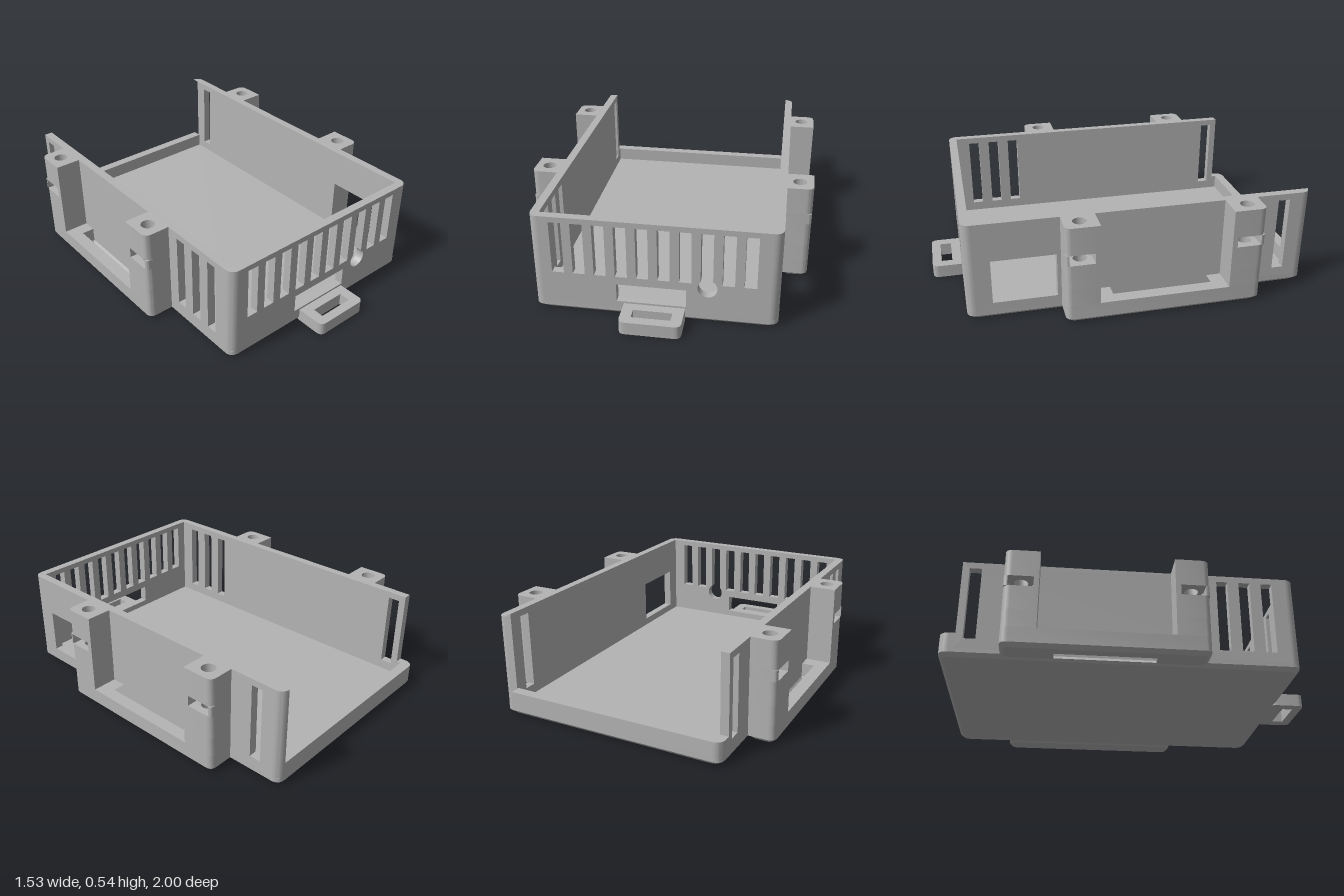
import * as THREE from 'three';
import { toCreasedNormals } from 'three/addons/utils/BufferGeometryUtils.js';

export function createModel() {
  const model = new THREE.Group();
  model.name = 'electronicsEnclosure';
  const grey = new THREE.MeshStandardMaterial({ color: 0xb4b4b4 });
  grey.name = 'grey plastic';

  const X = 0.625, XI = 0.58, FRONT = 0.84, FI = 0.795, BACK = -1, BI = -0.945;
  const R = 0.045, H = 0.54, FLOOR = 0.045, LIP = 0.125, CH = 0.02;

  const add = (name, geo, parent = model) => {
    const mesh = new THREE.Mesh(toCreasedNormals(geo, 0.5), grey);
    mesh.name = name;
    parent.add(mesh);
    return mesh;
  };

  // Closed outline from [u, v, cornerRadius] points
  const outline = (pts, Type = THREE.Shape) => {
    const s = new Type();
    pts.forEach(([u, v, r = 0], i) => {
      const p = new THREE.Vector2(u, v);
      const toward = (q) => new THREE.Vector2(q[0], q[1]).sub(p).setLength(r).add(p);
      const a = r ? toward(pts[(i + pts.length - 1) % pts.length]) : p;
      if (i === 0) s.moveTo(a.x, a.y); else s.lineTo(a.x, a.y);
      if (r) {
        const b = toward(pts[(i + 1) % pts.length]);
        s.quadraticCurveTo(u, v, b.x, b.y);
      }
    });
    s.closePath();
    return s;
  };
  const rect = (u0, u1, v0, v1, r = 0) => [[u0, v0, r], [u1, v0, r], [u1, v1, r], [u0, v1, r]];
  const hole = (pts) => outline(pts, THREE.Path);
  const circle = (u, v, r) => new THREE.Path().absarc(u, v, r, 0, Math.PI * 2);

  // Upright prism: plan points are [x, -z], from height y0 to y1
  const prism = (pts, y0, y1, holes = []) => {
    const s = outline(pts);
    s.holes.push(...holes);
    const g = new THREE.ExtrudeGeometry(s, { depth: y1 - y0, bevelEnabled: false, curveSegments: 8 });
    return g.rotateX(-Math.PI / 2).translate(0, y0, 0);
  };

  // Draws the bottom rim inward to form a chamfer
  const chamfer = (g) => {
    g.computeBoundingBox();
    const c = g.boundingBox.getCenter(new THREE.Vector3());
    const d = g.boundingBox.getSize(new THREE.Vector3());
    const p = g.attributes.position;
    for (let i = 0; i < p.count; i++) {
      if (p.getY(i) > 0.001) continue;
      p.setX(i, c.x + (p.getX(i) - c.x) * (1 - (2 * CH) / d.x));
      p.setZ(i, c.z + (p.getZ(i) - c.z) * (1 - (2 * CH) / d.z));
    }
    return g;
  };

  // Flat wall with openings, extruded through its thickness
  const wall = (u0, u1, y1, holes, t) => {
    const s = outline(rect(u0, u1, FLOOR, y1));
    s.holes.push(...holes);
    return new THREE.ExtrudeGeometry(s, { depth: t, bevelEnabled: false, curveSegments: 24 });
  };

  // Floor
  const plan = rect(-X, X, -FRONT, -BACK, 0.05);
  add('floorChamfer', chamfer(prism(plan, 0, CH)));
  add('floor', prism(plan, CH, FLOOR));

  // Front wall: ten vents, one ending in a round cable hole, and a low slot
  const openings = [hole(rect(-0.195, 0.16, 0.08, 0.18))];
  for (let i = 0; i < 10; i++) {
    const u = -0.523 + i * 0.108, w = 0.062;
    if (i !== 7) {
      openings.push(hole(rect(u, u + w, 0.225, 0.51)));
      continue;
    }
    const cx = 0.268, cy = 0.2, r = 0.05;
    const angle = (x) => Math.acos((x - cx) / r);
    const key = new THREE.Path();
    key.moveTo(u + w, 0.51);
    key.lineTo(u, 0.51);
    key.absarc(cx, cy, r, angle(u), angle(u + w) + Math.PI * 2, false);
    key.closePath();
    openings.push(key);
  }
  add('frontWall', wall(-XI, XI, H, openings, FRONT - FI).translate(0, 0, FI));

  // Side walls
  const rearSlot = () => hole(rect(-0.883, -0.82, 0.097, 0.505));
  const window_ = hole(rect(0.37, 0.707, 0.088, 0.33));
  add('leftWall', wall(BACK + R, FI, H, [rearSlot(), window_], R).rotateY(-Math.PI / 2).translate(X, 0, 0));
  const vents = [0.417, 0.538, 0.659].map((z) => hole(rect(z, z + 0.06, 0.097, 0.505)));
  add('rightWall', wall(-0.92, FI, H, [rearSlot(), ...vents], R).rotateY(-Math.PI / 2).translate(-XI, 0, 0));

  // Low rear lip, running on to the cut end of the right wall
  add('rearLip', wall(-XI, XI, LIP, [], BI - BACK).translate(0, 0, BACK));
  add('rightWallLowEnd', wall(BACK + R, -0.92, LIP, [], R).rotateY(-Math.PI / 2).translate(-XI, 0, 0));

  // Rounded corners
  const corner = (name, x, z, start, top) => {
    const g = new THREE.CylinderGeometry(R, R, top - FLOOR, 8, 1, false, start, Math.PI / 2);
    add(name, g.translate(x, (top + FLOOR) / 2, z));
  };
  corner('frontLeftCorner', XI, FI, 0, H);
  corner('backLeftCorner', XI, BACK + R, Math.PI / 2, H);
  corner('backRightCorner', -XI, BACK + R, Math.PI, LIP);
  corner('frontRightCorner', -XI, FI, Math.PI * 1.5, H);

  // Front strap tab
  add('frontTab', prism(rect(-0.157, 0.157, -1, -0.81, 0.035), 0, 0.07,
    [hole(rect(-0.1, 0.1, -0.95, -0.89))]));

  // Mounting brackets on both sides
  const XO = 0.765, IN = 0.615, MID = -0.1725, HALF = 0.5225, RC = 0.04, BAR = 0.1;
  for (const s of [1, -1]) {
    const bracket = new THREE.Group();
    bracket.name = s > 0 ? 'leftBracket' : 'rightBracket';
    model.add(bracket);
    const at = (pts) => pts.map(([x, z, r]) => [s * x, -z, r]);
    const slot = () => hole(at(rect(0.625, 0.695, -0.44, 0.093)));
    const z0 = MID - HALF, z1 = MID + HALF;
    add('bracketChamfer', chamfer(prism(at(rect(IN, XO, z0, z1, RC)), 0, CH, [slot()])), bracket);
    add('bracketBar', prism(at([[IN, z0], [XO, z0, RC], [XO, z1, RC], [IN, z1]]), CH, BAR, [slot()]), bracket);

    // Screw posts, each with a hexagonal nut pocket open to the outside
    for (const k of [1, -1]) {
      const zIn = MID + k * 0.3455, zOut = MID + k * HALF, zc = MID + k * 0.4375;
      const post = at([[IN, zIn], [XO, zIn], [XO, zOut, RC], [IN, zOut]]);
      const screw = () => circle(s * 0.69, -zc, 0.037);
      const nut = [[XO, -0.065], [0.69, -0.065], [0.634, -0.032], [0.634, 0.032], [0.69, 0.065], [XO, 0.065]]
        .map(([x, z]) => [x, zc + k * z]);
      const pocket = at([[IN, zIn], [XO, zIn], ...nut, [XO, zOut, 0.02], [IN, zOut]]);
      add('postBase', prism(post, BAR, 0.2), bracket);
      add('postLower', prism(post, 0.2, 0.333, [screw()]), bracket);
      add('postNutPocket', prism(pocket, 0.333, 0.39), bracket);
      add('postTop', prism(post, 0.39, H, [screw()]), bracket);
    }
  }
  return model;
}
